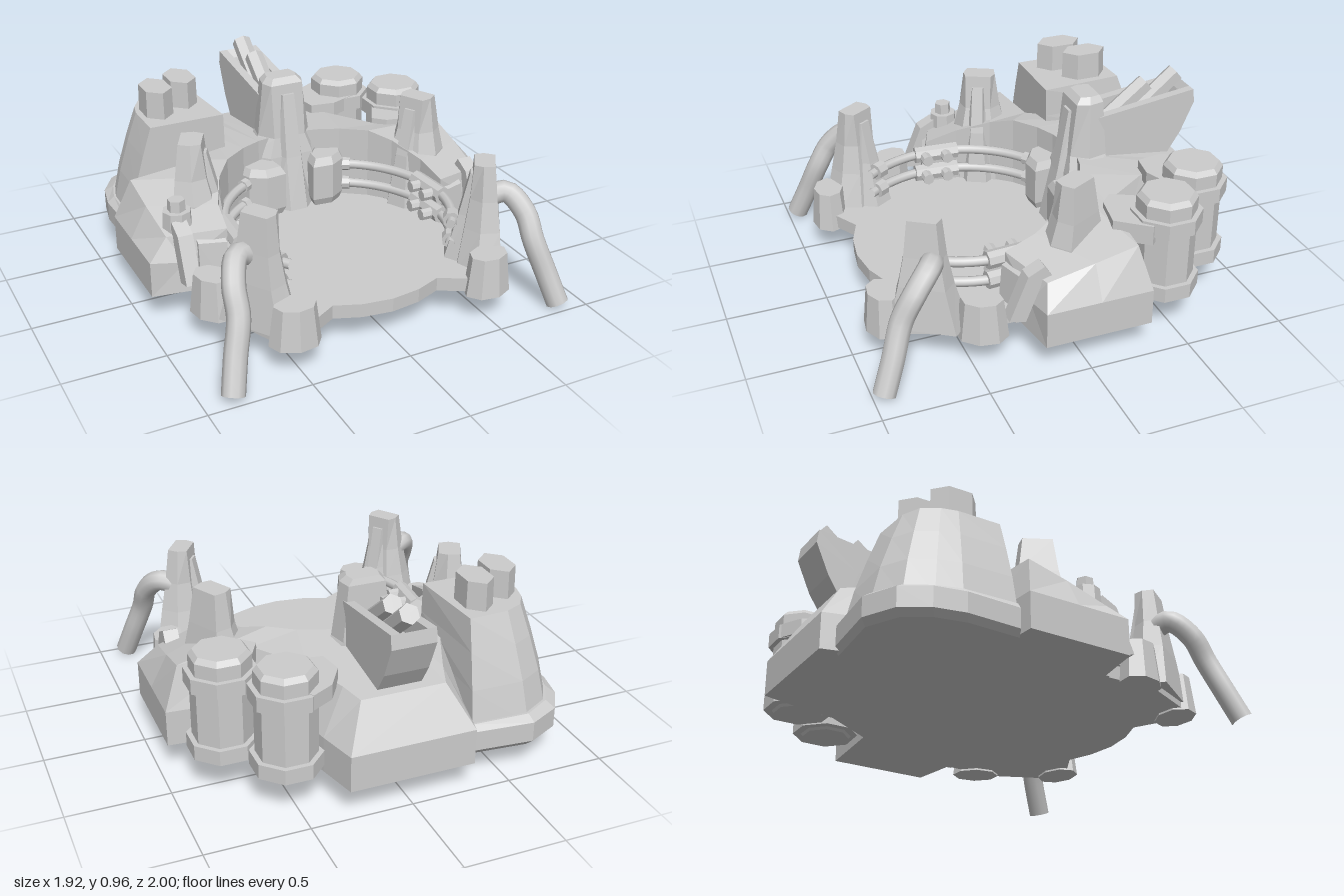
import * as THREE from 'three';

const flat = new THREE.MeshStandardMaterial({ color: 0xcccccc, flatShading: true, side: THREE.DoubleSide });
const smooth = new THREE.MeshStandardMaterial({ color: 0xcccccc });
const CZ = 0.27; // centre of the round floor on z

function add(parent, name, geo, mat = flat, x = 0, y = 0, z = 0) {
  const m = new THREE.Mesh(geo, mat);
  m.name = name;
  m.position.set(x, y, z);
  parent.add(m);
  return m;
}

// Closed solid through equal-length rings of [x, y, z]; faces are turned outward.
function loft(rings) {
  const tris = [], n = rings[0].length;
  const mid = r => [0, 1, 2].map(k => r.reduce((s, p) => s + p[k], 0) / n);
  for (let i = 0; i < rings.length - 1; i++)
    for (let j = 0; j < n; j++) {
      const k = (j + 1) % n, a = rings[i], b = rings[i + 1];
      tris.push([a[j], a[k], b[k]], [a[j], b[k], b[j]]);
    }
  const first = rings[0], last = rings[rings.length - 1], c0 = mid(first), c1 = mid(last);
  for (let j = 0; j < n; j++) {
    const k = (j + 1) % n;
    tris.push([c0, first[k], first[j]], [c1, last[j], last[k]]);
  }
  const v = p => new THREE.Vector3(...p);
  const vol = tris.reduce((s, t) => s + v(t[0]).dot(v(t[1]).cross(v(t[2]))), 0);
  if (vol < 0) tris.forEach(t => t.reverse());
  const g = new THREE.BufferGeometry();
  g.setAttribute('position', new THREE.Float32BufferAttribute(tris.flat(2), 3));
  g.computeVertexNormals();
  return g;
}

// Flat outline in x/z extruded upward from y0 to y1.
const slab = (pts, y0, y1) => loft([y0, y1].map(y => pts.map(([x, z]) => [x, y, z])));

// Tapered tower; levels are [y, half width, front z, back z, narrowing of the front].
const tower = levels => loft(levels.map(([y, w, f, b, k = 0.6]) => {
  const m = f + (b - f) * 0.45;
  return [[-w * k, y, f], [w * k, y, f], [w, y, m], [w * 0.85, y, b], [-w * 0.85, y, b], [-w, y, m]];
}));

const tube = (pts, r, sides = 10, seg = 24) =>
  new THREE.TubeGeometry(new THREE.CatmullRomCurve3(pts.map(p => new THREE.Vector3(...p))), seg, r, sides);

// Straight rod between two points.
function rod(parent, name, a, b, r, sides = 6, mat = flat) {
  const A = new THREE.Vector3(...a), B = new THREE.Vector3(...b), d = B.clone().sub(A);
  const m = add(parent, name, new THREE.CylinderGeometry(r, r, d.length(), sides), mat);
  m.position.copy(A.add(B).multiplyScalar(0.5));
  m.quaternion.setFromUnitVectors(new THREE.Vector3(0, 1, 0), d.normalize());
  return m;
}

function buildBase(g) {
  const half = [[0.15, 0.81], [0.28, 0.76], [0.42, 0.84], [0.6, 0.82], [0.72, 0.55], [0.72, 0.27],
    [0.6, 0.1], [0.5, -0.2], [0.2, -0.4]];
  const outline = [[0, 0.83], ...half, ...half.slice().reverse().map(([x, z]) => [-x, z])];
  add(g, 'floor', slab(outline, 0.15, 0.22));

  // Armoured hull: cross-sections run around the back of the round floor
  // [outer x, outer z, upper x, upper z, upper y, angle on the floor circle]
  const right = [[0.96, 0.21, 0.86, 0.17, 0.43, 0], [0.96, -0.06, 0.875, -0.06, 0.49, 16],
    [0.96, -0.32, 0.88, -0.27, 0.54, 34], [0.56, -0.35, 0.52, -0.28, 0.57, 47],
    [0.4, -0.6, 0.34, -0.55, 0.57, 62], [0.36, -0.8, 0.25, -0.76, 0.55, 73], [0.31, -1, 0.21, -0.87, 0.53, 83]];
  const all = [...right.map(s => [1, s]), ...right.slice().reverse().map(s => [-1, s])];
  add(g, 'hull', loft(all.map(([s, [ox, oz, tx, tz, ty, deg]]) => {
    const a = deg * Math.PI / 180, ix = 0.59 * Math.cos(a), iz = CZ - 0.59 * Math.sin(a);
    const rim = 0.46 + 0.14 * Math.min(1, deg / 45);
    return [[s * ox, 0.15, oz], [s * ox, 0.33, oz], [s * tx, ty, tz], [s * ix, rim, iz], [s * ix, 0.15, iz]];
  })));
}

function buildCentre(g) {
  add(g, 'rearTower', tower([[0.22, 0.22, -0.23, -0.44], [0.5, 0.2, -0.26, -0.46], [0.6, 0.145, -0.28, -0.46],
    [0.88, 0.11, -0.31, -0.45, 0.8], [0.91, 0.08, -0.34, -0.44, 0.8]]));
  add(g, 'rearTowerRib', tower([[0.22, 0.12, -0.17, -0.35, 0.4], [0.5, 0.07, -0.23, -0.36], [0.83, 0.04, -0.29, -0.38, 0.8]]));

  // Open trough with a slanted underside behind the tower
  const side = [[-0.4, 0.55], [-0.42, 0.8], [-0.95, 0.87], [-0.96, 0.8], [-0.89, 0.64], [-0.8, 0.5]];
  for (const s of [-1, 1])
    add(g, 'troughWall', loft([0.065, 0.11].map(x => side.map(([z, y]) => [s * x, y, z]))));
  const bed = [[-0.4, 0.5], [-0.42, 0.7], [-0.9, 0.77], [-0.92, 0.83], [-0.95, 0.87], [-0.96, 0.8], [-0.89, 0.64], [-0.8, 0.5]];
  add(g, 'troughBed', loft([-0.07, 0.07].map(x => bed.map(([z, y]) => [x, y, z]))));
  rod(g, 'exhaustPipe', [0, 0.72, -0.5], [0, 0.9, -0.73], 0.05);
  rod(g, 'exhaustPipe', [0, 0.74, -0.67], [0, 0.93, -0.9], 0.05);
}

function buildSide(g, s) {
  // Bevelled block that holds the rail ends
  const oct = [[0.08, -0.16], [0.19, -0.15], [0.27, -0.2], [0.3, -0.28], [0.28, -0.36], [0.1, -0.36]];
  add(g, 'railBlock', loft([[0.22, 0.85], [0.26, 1], [0.45, 1], [0.49, 0.8]].map(([y, k]) =>
    oct.map(([x, z]) => [s * (0.19 + (x - 0.19) * k), y, -0.26 + (z + 0.26) * k]))));

  // Curved rails with a sleeve and knobs
  const arc = (r, y, from, to, n = 10) => Array.from({ length: n + 1 }, (_, i) => {
    const a = (from + (to - from) * i / n) * Math.PI / 180;
    return [s * r * Math.cos(a), y, CZ + r * Math.sin(a)];
  });
  for (const y of [0.3, 0.41]) {
    add(g, 'rail', tube(arc(0.56, y, -62, 40), 0.025, 8), smooth);
    for (const [from, to] of [[-16, 8], [30, 36], [-60, -56]])
      rod(g, 'railSleeve', arc(0.56, y, from, to)[0], arc(0.56, y, from, to)[10], from < -50 ? 0.035 : 0.045, 8);
    for (const z of [0.19, 0.3])
      rod(g, 'railKnob', [s * 0.56, y, z], [s * 0.46, y, z], 0.03, 8);
  }

  // Fins stand around the floor and face its centre
  const fin = (name, x, z, levels, rib) => {
    const f = new THREE.Group();
    f.name = name;
    f.position.set(s * x, 0, z);
    f.rotation.y = Math.atan2(-s * x, CZ - z);
    add(f, name + 'Body', tower(levels));
    add(f, name + 'Rib', tower(rib));
    g.add(f);
  };
  fin('middleFin', 0.6, -0.04,
    [[0.22, 0.17, 0.1, -0.12], [0.5, 0.14, 0.07, -0.12], [0.62, 0.11, 0.04, -0.11], [0.8, 0.085, 0.02, -0.09, 0.8]],
    [[0.22, 0.09, 0.14, 0], [0.5, 0.055, 0.1, 0], [0.74, 0.035, 0.04, -0.04, 0.8]]);
  fin('frontFin', 0.57, 0.64,
    [[0.18, 0.19, 0.09, -0.13], [0.4, 0.13, 0.06, -0.11], [0.55, 0.1, 0.04, -0.09], [0.73, 0.08, 0.03, -0.07, 0.8]],
    [[0.22, 0.09, 0.15, 0], [0.45, 0.05, 0.09, 0], [0.67, 0.035, 0.045, -0.04, 0.8]]);

  // Feet at the front of the base
  for (const [x, z, turn] of [[0.51, 0.84, 0.15], [0.74, 0.44, 1.1]]) {
    const foot = add(g, 'foot', new THREE.CylinderGeometry(0.1, 0.125, 0.2, 8), flat, s * x, 0.24, z);
    foot.scale.z = 0.75;
    foot.rotation.y = s * turn;
  }

  // Bent pipe hanging outward from the front fin
  add(g, 'bentPipe', tube([[0.62, 0.52, 0.63], [0.71, 0.545, 0.67], [0.765, 0.46, 0.76], [0.775, 0.34, 0.83],
    [0.82, 0.18, 0.89], [0.86, 0.03, 0.95]].map(([x, y, z]) => [s * x, y, z]), 0.055, 10), smooth);

  // Slanted latch on the front of the side block
  const latch = [[0.13, 0.44], [0.17, 0.5], [0.25, 0.46], [0.34, 0.24], [0.26, 0.22], [0.18, 0.42]];
  add(g, 'latch', loft([0.755, 0.83].map(x => latch.map(([z, y]) => [s * x, y, z]))));
  add(g, 'latchPlate', loft([[0.21, 0.15], [0.27, 0.15], [0.25, 0.4], [0.19, 0.43]].map(([z, y]) =>
    [[s * 0.6, y, z + 0.04], [s * 0.73, y, z], [s * 0.73, y, z - 0.04], [s * 0.6, y, z - 0.04]])));
}

function buildTub(g) {
  const ring = (y, pts) => pts.map(([x, z]) => [x, y, z]);
  const flange = [[-0.34, -0.32], [-0.9, -0.33], [-0.91, -0.6], [-0.88, -0.75], [-0.8, -0.88], [-0.64, -0.96], [-0.31, -0.93]];
  const foot = [[-0.34, -0.33], [-0.88, -0.33], [-0.875, -0.6], [-0.84, -0.72], [-0.77, -0.84], [-0.63, -0.92], [-0.34, -0.91]];
  const top = [[-0.35, -0.33], [-0.74, -0.33], [-0.74, -0.55], [-0.72, -0.63], [-0.67, -0.71], [-0.58, -0.75], [-0.38, -0.76]];
  const mix = t => foot.map((p, i) => [p[0] + (top[i][0] - p[0]) * t, p[1] + (top[i][1] - p[1]) * t]);
  add(g, 'tubFlange', loft([ring(0.14, flange.map(([x, z]) => [x * 0.97, z * 0.97])), ring(0.17, flange), ring(0.27, flange), ring(0.3, foot)]));
  add(g, 'tub', loft([ring(0.25, foot), ring(0.45, mix(0.3)), ring(0.62, mix(0.65)), ring(0.77, top)]));
  for (const [x, z] of [[-0.64, -0.52], [-0.48, -0.6]]) {
    const c = add(g, 'tubStack', new THREE.CylinderGeometry(0.12, 0.125, 0.21, 6), flat, x, 0.805, z);
    c.scale.x = 0.66;
  }
  // Bolt on the side block
  add(g, 'boltBase', new THREE.CylinderGeometry(0.07, 0.075, 0.1, 8), flat, -0.78, 0.48, 0.11);
  add(g, 'boltHead', new THREE.CylinderGeometry(0.042, 0.045, 0.06, 6), flat, -0.78, 0.555, 0.11);
}

function buildBarrels(g) {
  const profile = [[0, 0.18], [0.12, 0.18], [0.146, 0.21], [0.146, 0.68], [0.125, 0.705], [0, 0.705]];
  const lathe = new THREE.LatheGeometry(profile.map(p => new THREE.Vector2(...p)), 8, Math.PI / 8);
  for (const [x, z] of [[0.515, -0.74], [0.735, -0.485]]) {
    add(g, 'barrel', lathe, flat, x, 0, z);
    for (const y of [0.23, 0.575])
      add(g, 'barrelBand', new THREE.CylinderGeometry(0.172, 0.172, 0.075, 8, 1, false, Math.PI / 8), flat, x, y, z);
  }
  // Brackets from the bands to the hull
  add(g, 'rearBracket', slab([[0.25, -0.7], [0.33, -0.83], [0.44, -0.89], [0.58, -0.62], [0.4, -0.55], [0.27, -0.57]], 0.54, 0.615));
  add(g, 'frontBracket', slab([[0.58, -0.45], [0.5, -0.3], [0.56, -0.24], [0.73, -0.21], [0.85, -0.36], [0.72, -0.5]], 0.5, 0.6));
}

export function createModel() {
  const model = new THREE.Group();
  model.name = 'gunPlatform';
  buildBase(model);
  buildCentre(model);
  for (const s of [-1, 1]) buildSide(model, s);
  buildTub(model);
  buildBarrels(model);
  return model;
}
